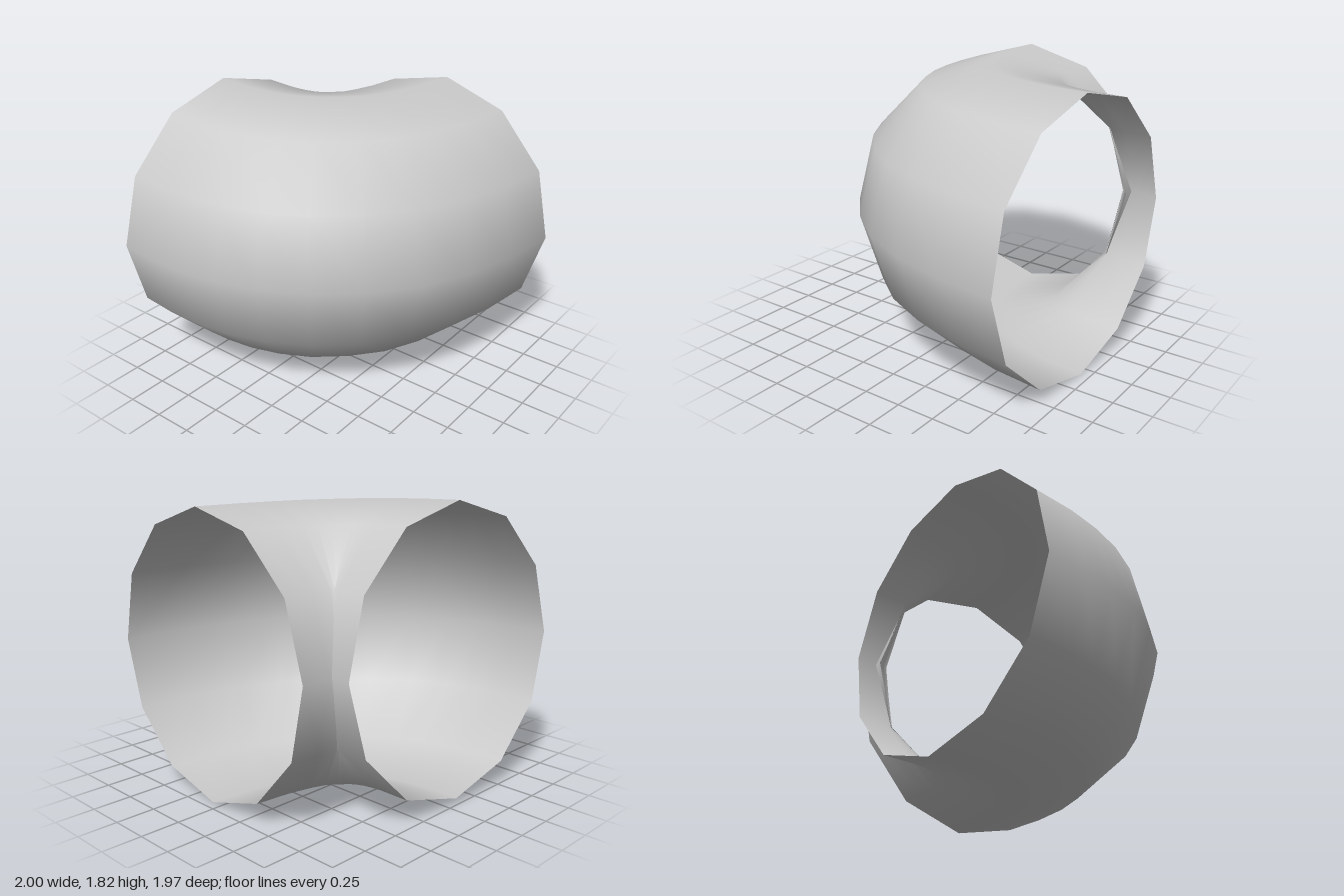
import * as THREE from 'three';

const SIDES = 12;
const RADIUS = 0.89;

// Centre line of the bend: x, z and heading in degrees (0 = +x, 90 = -z)
const PATH = [
  [-0.96, 0.08, -2], [-0.733, 0.095, 0.2], [-0.61, 0.087, 7.2], [-0.496, 0.067, 15.4],
  [-0.379, 0.025, 25.2], [-0.264, -0.04, 36.5], [-0.147, -0.15, 47.6], [-0.045, -0.279, 59.3],
  [0.025, -0.443, 70.8], [0.08, -0.66, 79.5], [0.113, -0.94, 86.9],
];
const SLOPE = -0.036; // gentle drop along x

function bentTube() {
  const positions = [], normals = [], index = [];
  PATH.forEach(([x, z, deg], i) => {
    const a = THREE.MathUtils.degToRad(deg);
    const centre = new THREE.Vector3(x, 0.895 + SLOPE * (x - 0.11), z);
    const tangent = new THREE.Vector3(Math.cos(a), SLOPE * Math.cos(a), -Math.sin(a)).normalize();
    const outward = new THREE.Vector3(Math.sin(a), 0, Math.cos(a));
    outward.addScaledVector(tangent, -outward.dot(tangent)).normalize();
    const up = outward.clone().cross(tangent);
    // the ring rolls slightly along the bend
    const roll = THREE.MathUtils.degToRad(-0.5 - 2 * i / (PATH.length - 1));

    for (let j = 0; j < SIDES; j++) {
      const phi = roll + j / SIDES * Math.PI * 2;
      const n = outward.clone().multiplyScalar(Math.cos(phi)).addScaledVector(up, Math.sin(phi));
      normals.push(n.x, n.y, n.z);
      positions.push(...centre.clone().addScaledVector(n, RADIUS).toArray());
      // quads joining this ring to the next
      if (i < PATH.length - 1) {
        const p = i * SIDES + j, q = i * SIDES + (j + 1) % SIDES;
        index.push(p, p + SIDES, q, q, p + SIDES, q + SIDES);
      }
    }
  });
  const g = new THREE.BufferGeometry();
  g.setAttribute('position', new THREE.Float32BufferAttribute(positions, 3));
  g.setAttribute('normal', new THREE.Float32BufferAttribute(normals, 3));
  g.setIndex(index);
  return g;
}

export function createModel() {
  const group = new THREE.Group();
  group.name = 'pipeElbow';
  // Open-ended thin-walled bend
  const material = new THREE.MeshStandardMaterial({ color: 0xcccccc, side: THREE.DoubleSide });
  const tube = new THREE.Mesh(bentTube(), material);
  tube.name = 'bentPipe';
  group.add(tube);
  return group;
}
